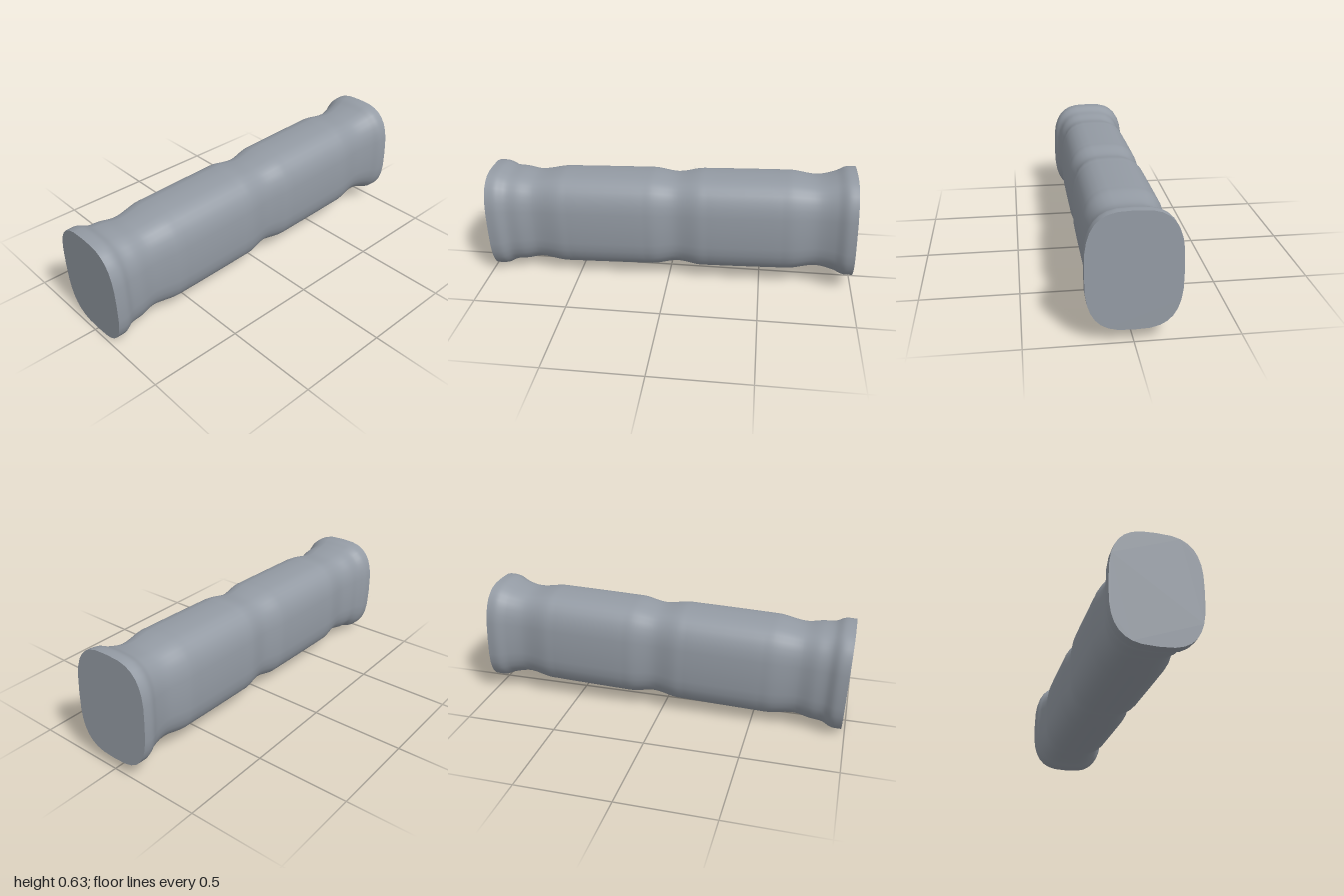
import * as THREE from 'three';

const SIDES = 32;
const TILT = 0.032;

// Stations along the grip: z, half width, half height
const STATIONS = [
  [0.991, 0.222, 0.285], [0.935, 0.221, 0.283], [0.885, 0.2, 0.263],
  [0.82, 0.195, 0.256], [0.735, 0.18, 0.243], [0.6, 0.199, 0.26],
  [0.54, 0.2, 0.261], [0.14, 0.2, 0.261], [0.08, 0.199, 0.26],
  [-0.04, 0.18, 0.243], [-0.16, 0.199, 0.26], [-0.22, 0.2, 0.261],
  [-0.6, 0.2, 0.261], [-0.66, 0.199, 0.26], [-0.79, 0.181, 0.243],
  [-0.885, 0.199, 0.261], [-0.94, 0.221, 0.283], [-0.991, 0.222, 0.285],
];

// Rounded-rectangle (superellipse) outline, counter-clockwise seen from +z
function outline(hw, hh) {
  const bend = (v) => Math.sign(v) * Math.abs(v) ** (2 / 3);
  return Array.from({ length: SIDES }, (_, i) => {
    const a = (i / SIDES) * Math.PI * 2;
    return new THREE.Vector2(hw * bend(Math.cos(a)), hh * bend(Math.sin(a)));
  });
}

// Smooth run of cross-sections through the stations
function sections() {
  const curve = new THREE.CatmullRomCurve3(STATIONS.map((s) => new THREE.Vector3(...s)));
  return curve.getPoints((STATIONS.length - 1) * 6);
}

// Skin the cross-sections into one smooth tube
function skin(list) {
  const position = [], index = [];
  list.forEach(({ x: z, y: hw, z: hh }, r) => {
    outline(hw, hh).forEach((p, i) => {
      position.push(p.x, p.y, z);
      if (r === list.length - 1) return;
      const a = r * SIDES + i, b = r * SIDES + (i + 1) % SIDES;
      const c = a + SIDES, d = b + SIDES;
      index.push(a, c, b, b, c, d);
    });
  });
  const geo = new THREE.BufferGeometry();
  geo.setAttribute('position', new THREE.Float32BufferAttribute(position, 3));
  geo.setIndex(index);
  geo.computeVertexNormals();
  return geo;
}

export function createModel() {
  const model = new THREE.Group();
  model.name = 'handleGrip';
  const material = new THREE.MeshStandardMaterial({ color: 0x949ba4 });

  // Grip body with flared ends and three necks
  const body = new THREE.Mesh(skin(sections()), material);
  body.name = 'gripBody';
  model.add(body);

  // Flat end faces
  const [endZ, hw, hh] = STATIONS[0];
  const capGeometry = new THREE.ShapeGeometry(new THREE.Shape(outline(hw, hh)));
  for (const side of [1, -1]) {
    const cap = new THREE.Mesh(capGeometry, material);
    cap.name = side > 0 ? 'frontCap' : 'backCap';
    cap.position.z = side * endZ;
    if (side < 0) cap.rotation.y = Math.PI;
    model.add(cap);
  }

  // Slight rise toward the back
  model.rotation.x = TILT;
  model.position.y = 0.3166;
  return model;
}
